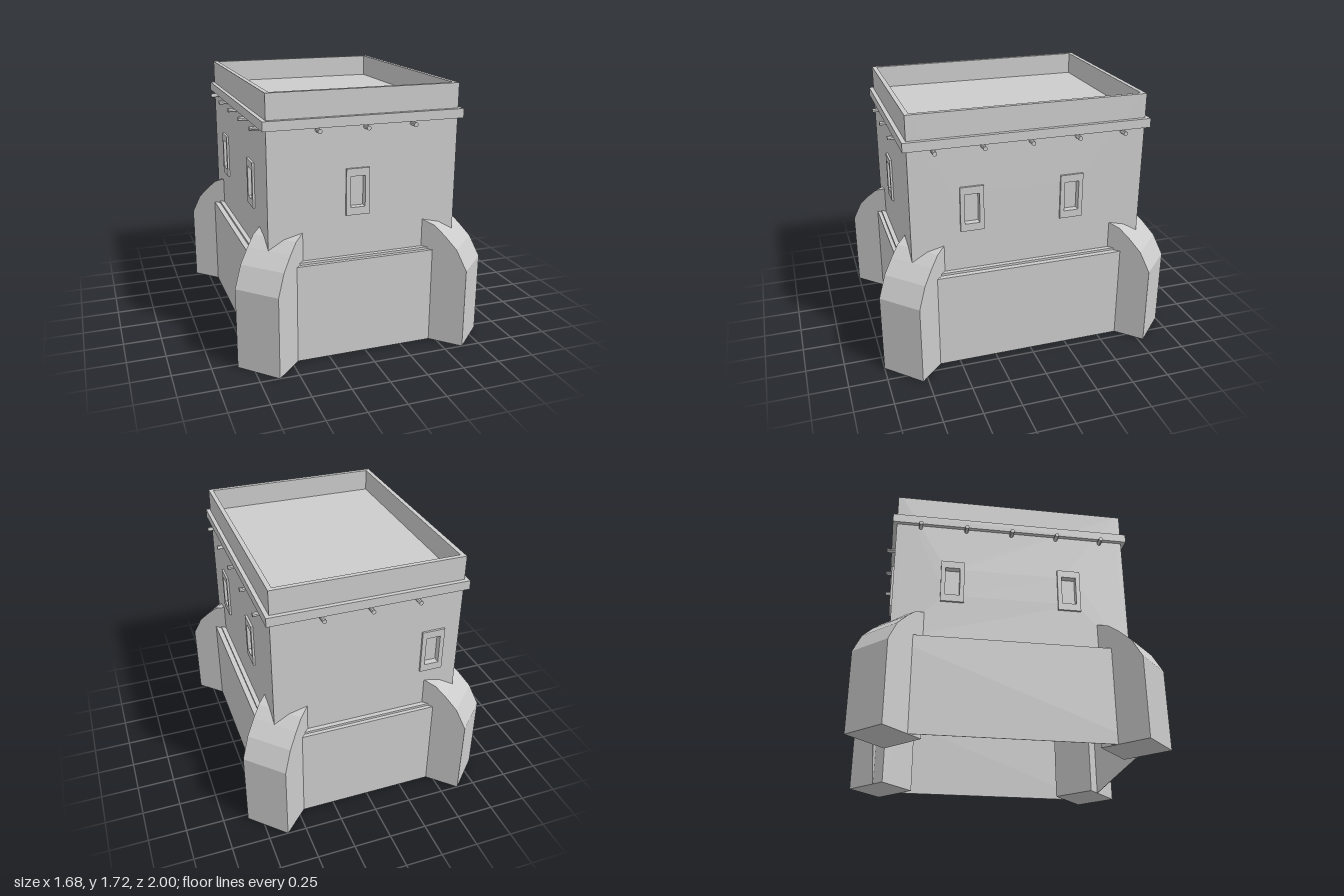
import * as THREE from 'three';

const mat = new THREE.MeshStandardMaterial({ color: 0xcccccc, flatShading: true });

const HX = 0.625, HZ = 0.78;      // tower half width and half depth
const WALL = 0.03;                // wall thickness
const WIN_Y = 1.08;               // window centre height

function add(parent, name, geometry) {
  const mesh = new THREE.Mesh(geometry, mat);
  mesh.name = name;
  parent.add(mesh);
  return mesh;
}

function rectPoints(cx, cy, hw, hh) {
  return [[-1, -1], [1, -1], [1, 1], [-1, 1]].map(([a, b]) => new THREE.Vector2(cx + a * hw, cy + b * hh));
}

// Rectangle with rectangular holes, extruded along z
function pierced(outer, holes, depth) {
  const shape = new THREE.Shape(outer);
  holes.forEach((h) => shape.holes.push(new THREE.Path(h)));
  return new THREE.ExtrudeGeometry(shape, { depth, bevelEnabled: false });
}

// Horizontal rectangular ring from y0 to y1
function ring(hx, hz, inX, inZ, y0, y1) {
  return pierced(rectPoints(0, 0, hx, hz), [rectPoints(0, 0, inX, inZ)], y1 - y0)
    .rotateX(-Math.PI / 2).translate(0, y0, 0);
}

// One tower side: wall with window openings, window frames and roof beam ends
function createSide(name, angle, halfWidth, distance, windows, beams) {
  const side = new THREE.Group();
  side.name = name;
  side.rotation.y = angle;
  const openings = windows.map((u) => rectPoints(u, WIN_Y, 0.048, 0.1));
  const y0 = 0.64, y1 = 1.72;
  add(side, 'wall', pierced(rectPoints(0, (y0 + y1) / 2, halfWidth, (y1 - y0) / 2), openings, WALL))
    .position.z = distance - WALL;
  windows.forEach((u, i) => {
    add(side, 'windowFrame', pierced(rectPoints(u, WIN_Y, 0.077, 0.15), [openings[i]], 0.014))
      .position.z = distance;
  });
  beams.forEach((u) => {
    const beam = add(side, 'roofBeam', new THREE.CylinderGeometry(0.014, 0.014, 0.08, 10).rotateX(Math.PI / 2));
    beam.position.set(u, 1.485, distance + 0.02);
  });
  return side;
}

// Corner buttress with a curved, sloping top; outer face at local x = 0
function createButtress(sx, sz) {
  const width = 0.304;
  const profile = [[0, 0], [0, 0.535], [-0.071, 0.67], [-0.155, 0.755], [-0.226, 0.815],
    [-0.311, 0.845], [-0.33, 0.85], [-0.33, 0]].map(([x, y]) => new THREE.Vector2(x, y));
  const geometry = new THREE.ExtrudeGeometry(new THREE.Shape(profile), { depth: width, bevelEnabled: false });
  geometry.translate(0, 0, -width / 2);
  const mesh = new THREE.Mesh(geometry, mat);
  mesh.name = 'buttress';
  mesh.position.set(sx * 0.7325, 0, sz * 0.8925);
  mesh.rotation.y = Math.atan2(-sz, sx);
  return mesh;
}

export function createModel() {
  const model = new THREE.Group();
  model.name = 'tower';

  // Thin, open-bottomed lower wall with a ledge and a small step
  add(model, 'lowerWall', ring(0.69, 0.835, 0.686, 0.831, 0, 0.64));
  add(model, 'ledge', ring(0.69, 0.835, HX - 0.01, HZ - 0.01, 0.633, 0.645));
  add(model, 'step', ring(0.655, 0.81, HX - 0.01, HZ - 0.01, 0.625, 0.66));

  // Core closes the window recesses and forms the sunken roof floor
  const core = add(model, 'roofAndCore', new THREE.BoxGeometry(2 * (HX - WALL), 0.93, 2 * (HZ - WALL)));
  core.position.y = 0.64 + 0.465;

  // Four walls, rising past the roof as a parapet
  const endBeams = [-0.31, 0, 0.31];
  const sideBeams = [-0.62, -0.31, 0, 0.31, 0.62];
  const sideHalf = HZ - WALL;
  model.add(
    createSide('frontSide', 0, HX, HZ, [-0.048], endBeams),
    createSide('backSide', Math.PI, HX, HZ, [0.44], endBeams),
    createSide('leftSide', Math.PI / 2, sideHalf, HX, [-0.385, 0.283], sideBeams),
    createSide('rightSide', -Math.PI / 2, sideHalf, HX, [-0.395, 0.387], sideBeams),
  );

  // Cornice band around the parapet
  add(model, 'cornice', ring(0.652, 0.808, HX - 0.01, HZ - 0.01, 1.5, 1.56));

  // Diagonal buttress at each corner
  for (const sx of [-1, 1]) for (const sz of [-1, 1]) model.add(createButtress(sx, sz));

  return model;
}
